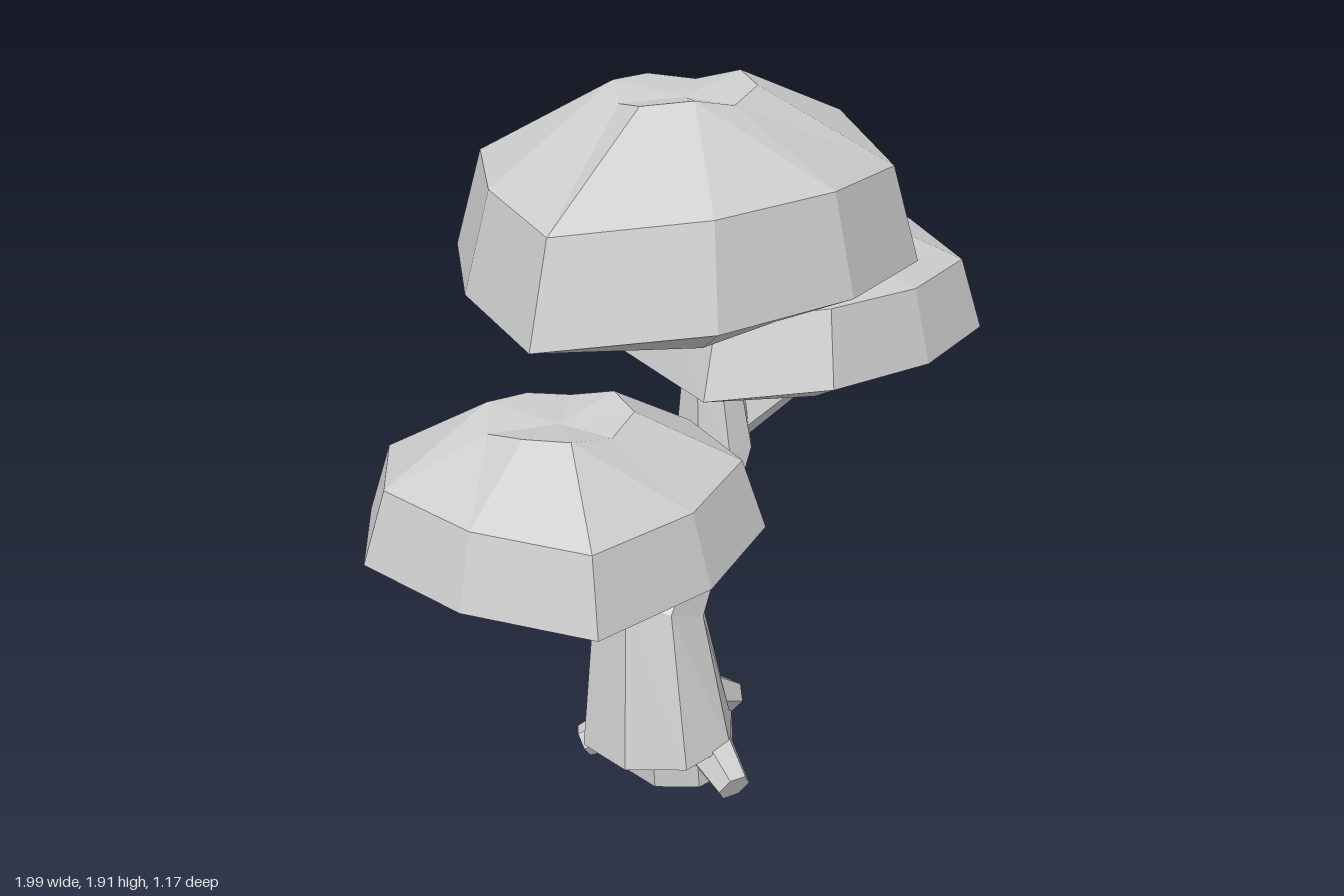
import * as THREE from 'three';

const bark = new THREE.MeshStandardMaterial({ color: 0xcccccc, flatShading: true });
bark.name = 'plain grey';

const V = (x, y, z) => new THREE.Vector3(x, y, z);
const mean = (ring) => ring.reduce((s, p) => s.add(p), V(0, 0, 0)).divideScalar(ring.length);

// Skin a stack of rings (listed from bottom to top) and close both ends
function loft(name, rings, capBottom, capTop) {
  const pos = [];
  const tri = (...pts) => pts.forEach((p) => pos.push(p.x, p.y, p.z));
  const n = rings[0].length;
  const first = rings[0], last = rings[rings.length - 1];
  const lowMid = capBottom || mean(first), highMid = capTop || mean(last);
  for (let i = 0; i < n; i++) {
    const j = (i + 1) % n;
    for (let r = 0; r + 1 < rings.length; r++) {
      const a = rings[r], b = rings[r + 1];
      tri(a[i], b[i], b[j]);
      tri(a[i], b[j], a[j]);
    }
    tri(lowMid, first[i], first[j]);
    tri(highMid, last[j], last[i]);
  }
  const geo = new THREE.BufferGeometry();
  geo.setAttribute('position', new THREE.Float32BufferAttribute(pos, 3));
  geo.computeVertexNormals();
  const mesh = new THREE.Mesh(geo, bark);
  mesh.name = name;
  return mesh;
}

// Elliptical trunk ring; slope tilts it along x
function trunkRing(cx, cy, cz, rx, rz, slope = 0) {
  return Array.from({ length: 8 }, (_, i) => {
    const a = (i + 0.5) * Math.PI / 4, k = 1 / Math.cos(Math.PI / 8);
    const dx = Math.cos(a) * rx * k;
    return V(cx + dx, cy + slope * dx, cz + Math.sin(a) * rz * k);
  });
}

// Tapering six-sided limb along a path of [x, y, z, radius]
function limb(name, path) {
  const pts = path.map((p) => V(p[0], p[1], p[2]));
  const rings = path.map((p, i) => {
    const d = pts[Math.min(i + 1, pts.length - 1)].clone().sub(pts[Math.max(i - 1, 0)]).normalize();
    const u = V(0, 1, 0).cross(d).normalize();
    const v = u.clone().cross(d);
    return Array.from({ length: 6 }, (_, k) => {
      const a = k * Math.PI / 3;
      return pts[i].clone().addScaledVector(u, Math.cos(a) * p[3]).addScaledVector(v, Math.sin(a) * p[3]);
    });
  });
  return loft(name, rings);
}

// Faceted foliage cap grown from its rim outline of [x, y, z]
function canopy(name, rim, c, o) {
  const edge = rim.map((p) => V(...p));
  const [cx, cz] = c;
  const scaled = (s, fy) => edge.map((p, i) => V(cx + (p.x - cx) * s, fy(p, i), cz + (p.z - cz) * s));
  const under = scaled(0.56, (p, i) => o.low + (i % 2) * 0.02);
  const shoulder = scaled(o.shoulderScale, (p) => p.y + o.rise);
  const crown = scaled(o.crownScale, (p, i) => o.top - [0, 0.01, 0.03][i % 3]);
  return loft(name, [under, edge, shoulder, crown], V(cx, o.low + 0.04, cz), V(cx, o.top - 0.035, cz));
}

export function createModel() {
  const tree = new THREE.Group();
  tree.name = 'tree';

  // Bent trunk with a flared foot
  tree.add(loft('trunk', [
    trunkRing(-0.045, 0, 0.035, 0.15, 0.145),
    trunkRing(-0.05, 0.12, 0.035, 0.15, 0.14),
    trunkRing(-0.135, 0.14, 0.04, 0.195, 0.205, 0.05),
    trunkRing(-0.12, 0.53, -0.005, 0.14, 0.15, -0.4),
    trunkRing(0.135, 0.915, -0.025, 0.098, 0.105, -0.1),
    trunkRing(0.13, 1.1, -0.03, 0.08, 0.075),
    trunkRing(0.13, 1.4, -0.03, 0.075, 0.07),
  ]));

  // Roots
  [
    [[-0.05, 0.17, 0.08, 0.09], [-0.1, 0.06, 0.31, 0.048]],
    [[-0.02, 0.19, -0.01, 0.09], [0.22, 0.06, -0.04, 0.05]],
    [[-0.09, 0.15, -0.02, 0.08], [-0.24, 0.055, -0.15, 0.045]],
  ].forEach((path) => tree.add(limb('root', path)));

  // Side branches
  tree.add(limb('rightBranch', [[-0.02, 0.64, 0.02, 0.075], [-0.44, 0.77, 0.1, 0.05], [-0.62, 0.9, 0.14, 0.04]]));
  tree.add(limb('leftBranch', [[0.14, 0.93, -0.03, 0.065], [0.47, 1.015, -0.03, 0.05], [0.64, 1.13, -0.03, 0.04]]));

  // Foliage caps
  tree.add(canopy('topCanopy', [
    [-0.32, 1.45, -0.53], [0.12, 1.43, -0.59], [0.47, 1.44, -0.36],
    [0.69, 1.475, -0.04], [0.53, 1.42, 0.33], [0.12, 1.46, 0.48],
    [-0.28, 1.455, 0.42], [-0.63, 1.425, 0.15], [-0.54, 1.45, -0.21],
  ], [0.04, -0.04], { low: 1.325, rise: 0.26, shoulderScale: 0.88, crownScale: 0.3, top: 1.91 }));

  tree.add(canopy('leftCanopy', [
    [0.2, 1.14, -0.48], [0.52, 1.14, -0.5], [0.84, 1.15, -0.37],
    [0.99, 1.155, -0.05], [0.87, 1.13, 0.28], [0.53, 1.145, 0.385],
    [0.19, 1.16, 0.36], [-0.06, 1.13, 0.14], [-0.01, 1.15, -0.22],
  ], [0.47, -0.05], { low: 1.05, rise: 0.2, shoulderScale: 0.88, crownScale: 0.33, top: 1.48 }));

  tree.add(canopy('rightCanopy', [
    [-0.79, 0.91, -0.31], [-0.45, 0.9, -0.3], [-0.17, 0.91, -0.17],
    [-0.04, 0.905, 0.13], [-0.13, 0.91, 0.44], [-0.44, 0.9, 0.57],
    [-0.8, 0.905, 0.58], [-0.96, 0.915, 0.28], [-1, 0.93, -0.04],
  ], [-0.53, 0.13], { low: 0.815, rise: 0.185, shoulderScale: 0.88, crownScale: 0.36, top: 1.245 }));

  return tree;
}
